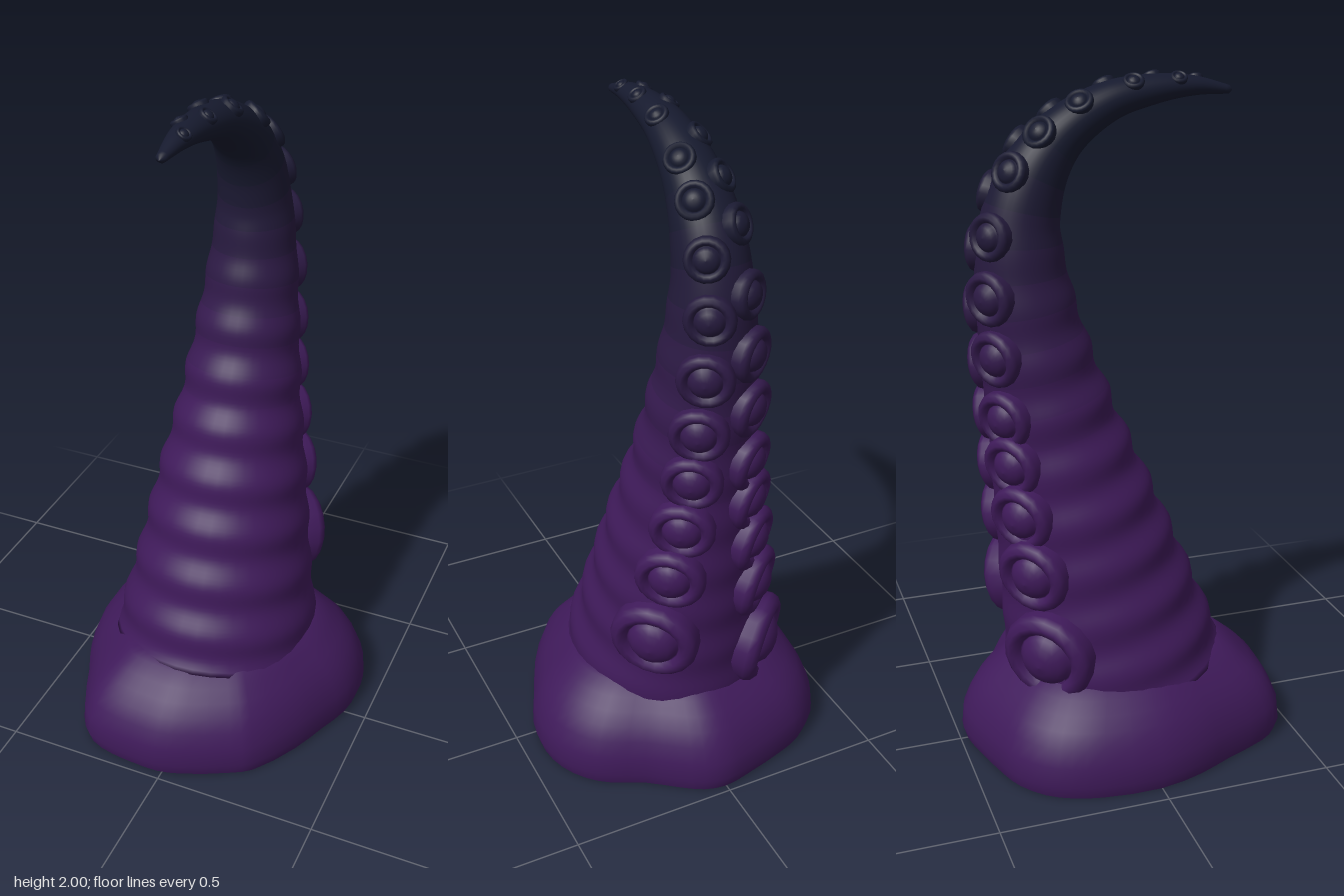
import * as THREE from 'three';

const PURPLE = new THREE.Color(0x3f1a5a);
const NAVY = new THREE.Color(0x161a2e);
const V = (x, y, z) => new THREE.Vector3(x, y, z);
const { smoothstep, lerp, degToRad } = THREE.MathUtils;

// Spine of the arm: height, depth, thickness radius, width radius
const ROWS = [
  [0.21, -0.01, 0.34, 0.325], [0.5, -0.075, 0.285, 0.268], [0.75, -0.135, 0.24, 0.228],
  [1.0, -0.195, 0.192, 0.182], [1.25, -0.25, 0.155, 0.15], [1.45, -0.28, 0.132, 0.126],
  [1.6, -0.28, 0.113, 0.108], [1.73, -0.24, 0.095, 0.096], [1.835, -0.16, 0.073, 0.081],
  [1.915, -0.03, 0.055, 0.064], [1.945, 0.1, 0.042, 0.049], [1.952, 0.22, 0.028, 0.034],
  [1.938, 0.33, 0.012, 0.014],
];
const spine = new THREE.CatmullRomCurve3(ROWS.map(([y, z]) => V(-0.02, y, z)));
const radii = new THREE.CatmullRomCurve3(ROWS.map(([, , rn, rx]) => V(rn, rx, 0)));
const LENGTH = spine.getLength();

// Outline of the foot seen from above
const OUTLINE = new THREE.CatmullRomCurve3([
  [0, -0.49], [0.07, -0.475], [0.14, -0.43], [0.22, -0.37], [0.32, -0.32], [0.38, -0.27],
  [0.43, -0.19], [0.45, -0.1], [0.44, 0], [0.4, 0.1], [0.35, 0.22], [0.26, 0.36],
  [0.2, 0.4], [0.06, 0.465], [-0.02, 0.485], [-0.1, 0.483], [-0.18, 0.475], [-0.26, 0.45],
  [-0.31, 0.39], [-0.37, 0.25], [-0.42, 0.14], [-0.455, 0], [-0.445, -0.18], [-0.42, -0.27],
  [-0.38, -0.34], [-0.31, -0.4], [-0.24, -0.43], [-0.08, -0.475],
].map(([x, z]) => V(x, 0, z)), true);

// Skin over a stack of closed rings of equal size
function loft(rings) {
  const n = rings[0].length, index = [];
  for (let i = 0; i < rings.length - 1; i++) {
    for (let j = 0; j < n; j++) {
      const a = i * n + j, b = i * n + (j + 1) % n;
      index.push(a, a + n, b, b, a + n, b + n);
    }
  }
  const geometry = new THREE.BufferGeometry().setFromPoints(rings.flat());
  geometry.setIndex(index);
  geometry.computeVertexNormals();
  return geometry;
}

// Colour fades from purple to navy along the arm
const shade = (s) => PURPLE.clone().lerp(NAVY, smoothstep(s, 0.65, 1.7));
const material = (color) => new THREE.MeshStandardMaterial({ color });

// Local frame of the arm; "back" is the side that carries the suckers
function frame(s) {
  const u = Math.min(1, s / LENGTH);
  const t = spine.getUtoTmapping(u);
  const tangent = spine.getTangent(t), r = radii.getPoint(t);
  return { centre: spine.getPoint(t), back: V(0, tangent.z, -tangent.y), rn: r.x, rx: r.y };
}

function surfacePoint(f, angle, swell = 0) {
  return f.centre.clone()
    .addScaledVector(f.back, Math.cos(angle) * (f.rn + swell))
    .add(V(Math.sin(angle) * (f.rx + swell), 0, 0));
}

function makeArm() {
  const STEPS = 168, SIDES = 36, BANDS = 28;
  const rings = [];
  for (let i = 0; i <= STEPS; i++) {
    const s = (i / STEPS) * LENGTH, f = frame(s);
    // Soft folds that fade out towards the tip
    const fold = -Math.cos((2 * Math.PI * (s - 0.04)) / 0.155) * 0.0085
      * (1 - smoothstep(s, 0.8, 1.6));
    rings.push(Array.from({ length: SIDES }, (_, j) => {
      const a = (j / SIDES) * Math.PI * 2;
      return surfacePoint(f, a, fold * (0.65 - 0.35 * Math.cos(a)));
    }));
  }
  // Close the tip and the hidden lower end
  const end = (p) => Array.from({ length: SIDES }, () => p.clone());
  rings.push(end(spine.getPoint(1).add(V(0, -0.002, 0.01))));
  rings.unshift(end(spine.getPoint(0)));
  const geometry = loft(rings);
  const perBand = Math.ceil((rings.length - 1) / BANDS) * SIDES * 6;
  const materials = [];
  for (let start = 0; start < geometry.index.count; start += perBand) {
    const count = Math.min(perBand, geometry.index.count - start);
    geometry.addGroup(start, count, materials.length);
    materials.push(material(shade(((start + count / 2) / geometry.index.count) * LENGTH)));
  }
  const arm = new THREE.Mesh(geometry, materials);
  arm.name = 'tentacleArm';
  return arm;
}

function makeFoot() {
  const SIDES = 56;
  const ring = (y, k) => Array.from({ length: SIDES }, (_, j) => {
    const p = OUTLINE.getPoint(j / SIDES);
    return V(p.x * k, y, p.z * k);
  });
  const foot = new THREE.Group();
  foot.name = 'foot';
  const side = [[0, 0.975], [0.04, 1], [0.1, 0.988], [0.15, 0.945], [0.19, 0.895], [0.225, 0.825],
    [0.255, 0.75], [0.285, 0.67], [0.3, 0.58], [0.3, 0]];
  const parts = { footBody: side, footSole: [[0, 0], [0, 0.975]] };
  for (const [name, profile] of Object.entries(parts)) {
    const mesh = new THREE.Mesh(loft(profile.map(([y, k]) => ring(y, k))), material(PURPLE));
    mesh.name = name;
    foot.add(mesh);
  }
  return foot;
}

// Sucker of unit radius: soft rim, groove and large domed middle
const suckerGeometry = new THREE.LatheGeometry([
  [0.97, -0.35], [1, 0], [0.95, 0.14], [0.82, 0.24], [0.69, 0.22], [0.6, 0.1],
  [0.57, 0.08], [0.53, 0.18], [0.41, 0.3], [0.21, 0.38], [0, 0.41],
].map(([x, y]) => new THREE.Vector2(x, y)), 18);

// Sucker radius along the arm
const SIZES = [[0, 0.15], [0.3, 0.14], [0.42, 0.115], [0.56, 0.105], [0.84, 0.09], [1.24, 0.079],
  [1.54, 0.057], [1.74, 0.042], [1.94, 0.029], [2.3, 0.014]];
function suckerSize(s) {
  const i = SIZES.findIndex(([at]) => at > s);
  const [s0, r0] = SIZES[i - 1], [s1, r1] = SIZES[i];
  return lerp(r0, r1, (s - s0) / (s1 - s0));
}

function makeSuckers(name, side, stations) {
  const row = new THREE.Group();
  row.name = name;
  for (const s of stations) {
    // The two rows draw together halfway up and spread again at the tip
    const degrees = lerp(42, 32, smoothstep(s, 0.15, 1)) + 5 * smoothstep(s, 1.4, 1.8);
    const f = frame(s), a = side * degToRad(degrees);
    const normal = f.back.clone().multiplyScalar(Math.cos(a) / f.rn)
      .add(V(Math.sin(a) / f.rx, 0, 0)).normalize();
    const sucker = new THREE.Mesh(suckerGeometry, material(shade(s)));
    sucker.name = 'sucker';
    sucker.position.copy(surfacePoint(f, a));
    sucker.quaternion.setFromUnitVectors(V(0, 1, 0), normal);
    sucker.scale.setScalar(suckerSize(s));
    row.add(sucker);
  }
  return row;
}

export function createModel() {
  const model = new THREE.Group();
  model.name = 'tentacle';
  model.add(
    makeFoot(),
    makeArm(),
    makeSuckers('leftSuckers', 1,
      [0.325, 0.555, 0.725, 0.885, 1.035, 1.195, 1.35, 1.48, 1.605, 1.71, 1.86, 1.99, 2.11]),
    makeSuckers('rightSuckers', -1,
      [0.2, 0.45, 0.625, 0.775, 0.91, 1.08, 1.24, 1.39, 1.54, 1.65, 1.77, 1.92, 2.05]),
  );
  return model;
}
